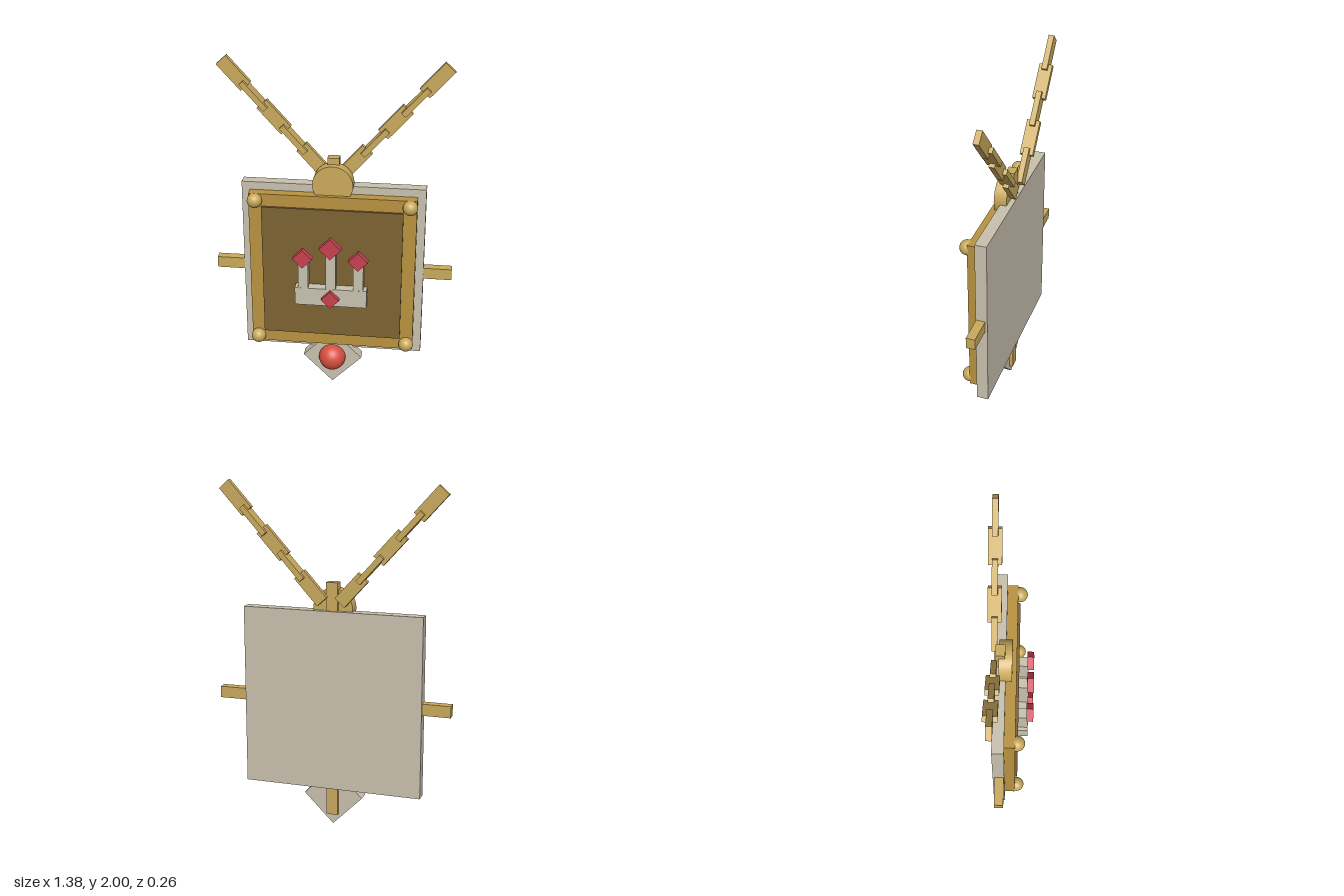
import * as THREE from 'three';

const mat = (name, color) => {
  const m = new THREE.MeshStandardMaterial({ color });
  m.name = name;
  return m;
};

export function createModel() {
  const gold = mat('light gold', 0xc9a95c);
  const frameGold = mat('deep gold', 0xb8923f);
  const bronze = mat('dark bronze', 0x7d6233);
  const stone = mat('pale stone', 0xc9c1af);
  const ruby = mat('ruby', 0xc8414f);
  const orbRed = mat('orb red', 0xd6503f);

  const model = new THREE.Group();
  model.name = 'pendant';

  const add = (name, geometry, material, x, y, z, parent = model) => {
    const mesh = new THREE.Mesh(geometry, material);
    mesh.name = name;
    mesh.position.set(x, y, z);
    parent.add(mesh);
    return mesh;
  };
  // Box given by centre x, centre y, and its back and front z
  const slab = (name, material, x, y, w, h, z0, z1, parent) =>
    add(name, new THREE.BoxGeometry(w, h, z1 - z0), material, x, y, (z0 + z1) / 2, parent);
  // Square slab standing on its corner, sized by half diagonal
  const diamond = (name, material, x, y, half, z0, z1, parent) => {
    const side = half * Math.SQRT2;
    slab(name, material, x, y, side, side, z0, z1, parent).rotation.z = Math.PI / 4;
  };

  const midY = 0.755;

  // Stacked square body
  slab('backPlate', stone, 0, midY, 1.054, 1.054, -0.095, -0.028);
  slab('frame', frameGold, 0, midY, 0.96, 0.96, -0.035, 0.032);
  slab('panel', bronze, 0, midY, 0.81, 0.81, 0.0, 0.046);

  // Cross bars running behind the frame
  slab('crossBar', gold, 0, midY, 1.38, 0.067, -0.083, -0.031);
  slab('uprightBar', gold, 0, midY, 0.067, 1.38, -0.083, -0.031);

  // Corner studs
  for (const sx of [-1, 1]) {
    for (const sy of [-1, 1]) {
      add('cornerStud', new THREE.SphereGeometry(0.043, 24, 16), gold,
        sx * 0.442, midY + sy * 0.442, 0.043);
    }
  }

  // Three-towered emblem with gems
  const emblem = new THREE.Group();
  emblem.name = 'emblem';
  model.add(emblem);
  slab('emblemBase', stone, 0, 0.63, 0.418, 0.11, 0.04, 0.103, emblem);
  for (const [x, top, half] of [[-0.16, 0.866, 0.057], [0, 0.937, 0.064], [0.16, 0.866, 0.057]]) {
    slab('tower', stone, x, (0.63 + top) / 2, 0.058, top - 0.63, 0.04, 0.102, emblem);
    diamond('towerGem', ruby, x, x ? 0.884 : 0.953, half, 0.093, 0.132, emblem);
  }
  diamond('baseGem', ruby, 0, 0.628, 0.053, 0.093, 0.132, emblem);

  // Top disc
  add('topDisc', new THREE.CylinderGeometry(0.116, 0.116, 0.073, 40), gold, 0, 1.293, -0.029)
    .rotation.x = Math.PI / 2;

  // Lower diamond and orb
  diamond('lowerDiamond', stone, 0, 0.177, 0.175, -0.063, 0.01);
  add('orb', new THREE.SphereGeometry(0.08, 32, 24), orbRed, 0, 0.178, 0.016);

  // Chain arms: flat links turned a quarter from one to the next
  const angle = THREE.MathUtils.degToRad(48);
  for (const side of [-1, 1]) {
    const arm = new THREE.Group();
    arm.name = side > 0 ? 'leftChain' : 'rightChain';
    model.add(arm);
    for (let i = 0; i < 5; i++) {
      const flat = i % 2 === 0;
      const link = add('chainLink',
        new THREE.BoxGeometry(0.2, flat ? 0.075 : 0.032, flat ? 0.032 : 0.075), gold,
        side * (0.119 + i * 0.1105), 1.411 + i * 0.1223, -0.092, arm);
      link.rotation.z = side * angle;
    }
  }

  return model;
}
